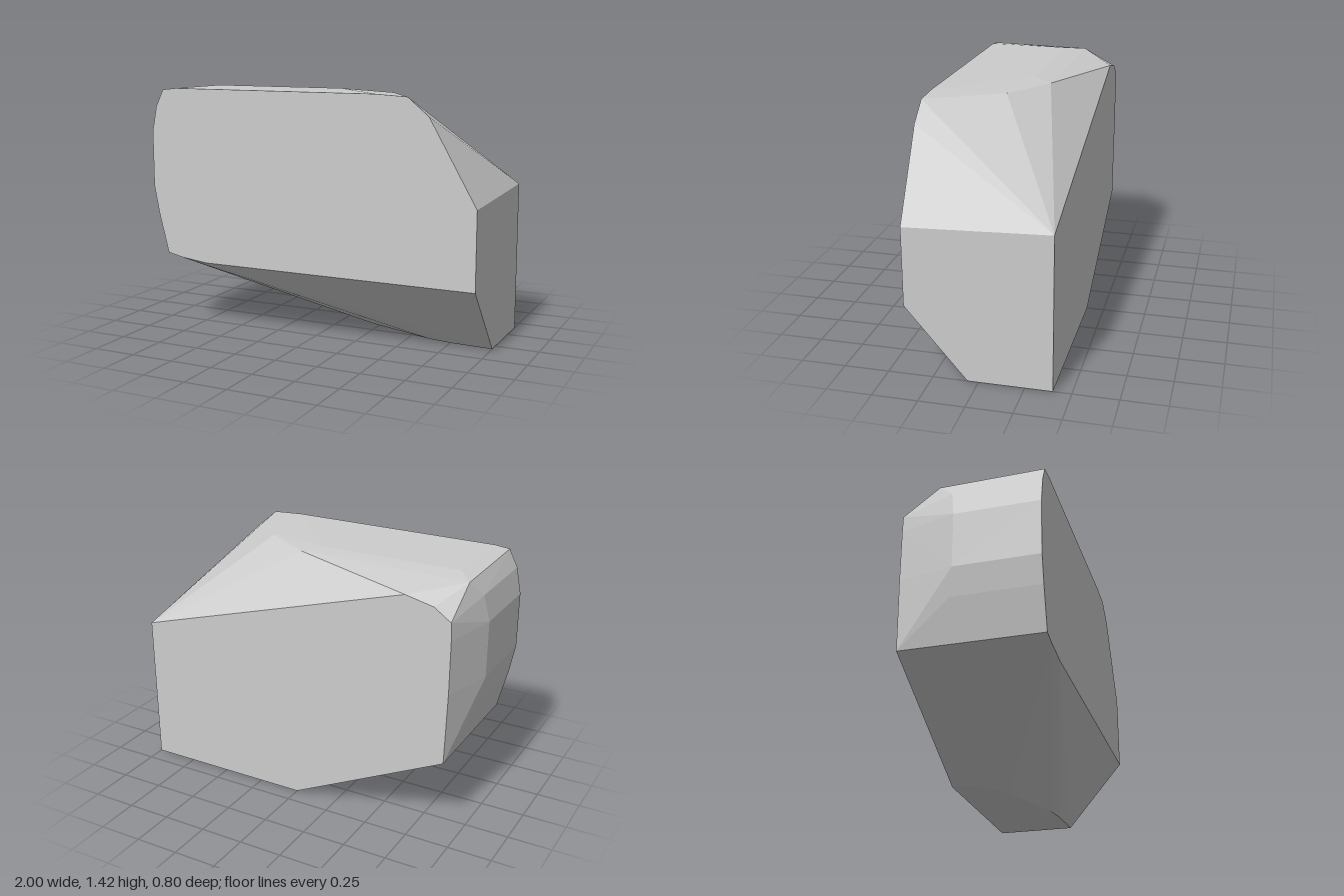
import * as THREE from 'three';
import { ConvexGeometry } from 'three/addons/geometries/ConvexGeometry.js';

// Outlines as [x, y] pairs on the two flat broad faces
const FRONT = [
  [-1, 0.84], [-1, 1.16], [-0.97, 1.31], [-0.92, 1.41], [-0.83, 1.42],
  [0.43, 1.42], [0.61, 1.41], [0.73, 1.31], [1, 0.84], [1, 0.4],
  [-0.65, 0.4], [-0.82, 0.42], [-0.91, 0.44], [-0.97, 0.68],
];
const BACK = [
  [-0.91, 0.44], [-0.92, 0.85], [-0.92, 1.15], [-0.915, 1.25], [-0.82, 1.317],
  [-0.656, 1.355], [1, 0.87], [1, 0], [0, 0],
];

// Corners between the faces, as [x, y, z]
const BEVELS = [
  // rounded side
  [-1, 0.84, -0.08], [-1, 1.16, -0.08], [-0.97, 1.31, -0.1], [-0.97, 0.68, -0.1],
  // sloping top
  [-0.92, 1.4, -0.19], [-0.83, 1.416, -0.08], [0, 1.416, -0.08],
  [0.08, 1.403, -0.18], [0.37, 1.405, 0],
  // underside
  [1, 0, 0.06], [0.76, 0, 0.05], [0.62, 0, 0.03], [0.2, 0, -0.12], [0, 0, -0.28],
];

export function createModel() {
  const grey = new THREE.MeshStandardMaterial({ color: 0xcccccc });
  grey.name = 'grey';

  const points = [
    ...FRONT.map(([x, y]) => new THREE.Vector3(x, y, 0.4)),
    ...BACK.map(([x, y]) => new THREE.Vector3(x, y, -0.4)),
    ...BEVELS.map((p) => new THREE.Vector3(...p)),
  ];

  // One faceted convex block
  const block = new THREE.Mesh(new ConvexGeometry(points), grey);
  block.name = 'facetedBlock';

  const group = new THREE.Group();
  group.name = 'bevelledBlock';
  group.add(block);
  return group;
}
